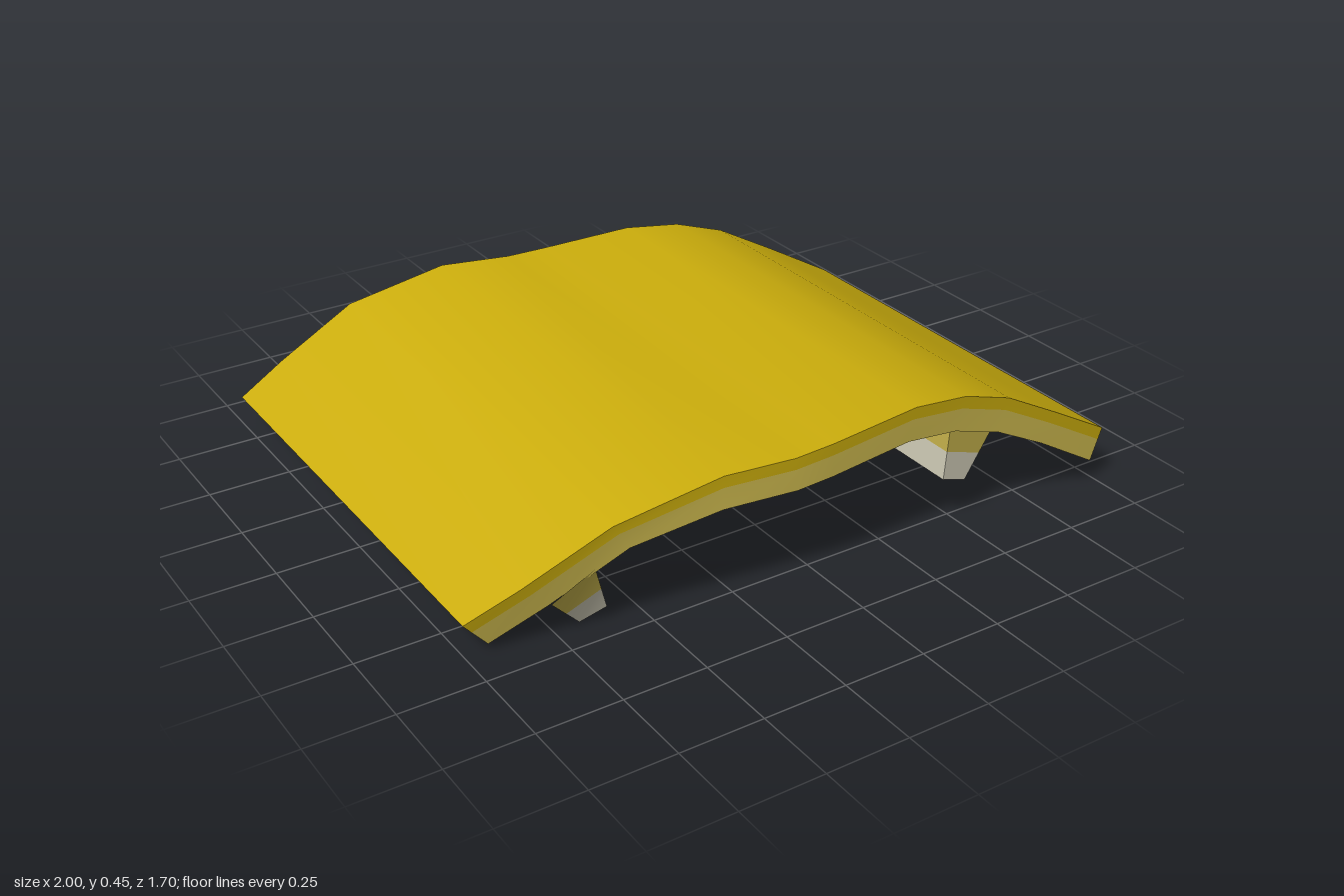
import * as THREE from 'three';
import { mergeGeometries } from 'three/addons/utils/BufferGeometryUtils.js';

const material = (name, color) => {
  const m = new THREE.MeshStandardMaterial({ color });
  m.name = name;
  return m;
};

// Surface between two rows of points, smooth along the rows
function strip(a, b) {
  const n = a.length, index = [];
  for (let i = 0; i < n - 1; i++) index.push(i, i + 1, n + i + 1, i, n + i + 1, n + i);
  const g = new THREE.BufferGeometry();
  g.setAttribute('position', new THREE.Float32BufferAttribute([...a, ...b].flatMap(p => p.toArray()), 3));
  g.setIndex(index);
  g.computeVertexNormals();
  return g;
}

const V = (x, y, z) => new THREE.Vector3(x, y, z);
const mix = (a, b, t) => a.map((p, i) => p.clone().lerp(b[i], t));

// Roof stations: top x, y, underside x, y, front z, back z
const STATIONS = [
  [-1.0, 0.10, -0.93, 0.02, 0.63, -0.85],
  [-0.86, 0.19, -0.78, 0.115, 0.685, -0.848],
  [-0.63, 0.34, -0.58, 0.26, 0.76, -0.818],
  [-0.33, 0.42, -0.33, 0.32, 0.815, -0.765],
  [-0.12, 0.42, -0.11, 0.32, 0.84, -0.715],
  [0.0, 0.43, 0.0, 0.33, 0.845, -0.69],
  [0.28, 0.455, 0.26, 0.355, 0.84, -0.638],
  [0.46, 0.435, 0.43, 0.335, 0.835, -0.615],
  [0.62, 0.385, 0.59, 0.285, 0.836, -0.593],
  [0.80, 0.29, 0.76, 0.20, 0.84, -0.555],
  [1.0, 0.18, 0.965, 0.08, 0.84, -0.51],
];

// Rib block; corners run top left, bottom left, bottom right, top right,
// each a pair of front and back points
function block(corners) {
  const [tl, bl, br, tr] = corners;
  return mergeGeometries([
    strip([bl[0], br[0]], [tl[0], tr[0]]),
    strip([br[1], bl[1]], [tr[1], tl[1]]),
    strip([br[0], br[1]], [tr[0], tr[1]]),
    strip([bl[1], bl[0]], [tl[1], tl[0]]),
    strip([bl[1], br[1]], [bl[0], br[0]]),
  ]);
}

export function createModel() {
  const group = new THREE.Group();
  const yellow = material('roof yellow', 0xcbad0c);
  const pale = material('pale yellow', 0xcdb94e);
  const cream = material('cream', 0xd9d5bf);
  const add = (parent, name, geometry, mat) => {
    const mesh = new THREE.Mesh(geometry, mat);
    mesh.name = name;
    parent.add(mesh);
  };

  // Curved roof panel with two-tone edges
  const roof = new THREE.Group();
  roof.name = 'roofPanel';
  group.add(roof);
  const topFront = STATIONS.map(s => V(s[0], s[1], s[4]));
  const topBack = STATIONS.map(s => V(s[0], s[1], s[5]));
  const lowFront = STATIONS.map(s => V(s[2], s[3], s[4]));
  const lowBack = STATIONS.map(s => V(s[2], s[3], s[5]));
  const midFront = mix(topFront, lowFront, 0.35);
  const midBack = mix(topBack, lowBack, 0.35);
  const last = STATIONS.length - 1;
  const rightEnd = (lf, lb, uf, ub) => strip([lf[last], lb[last]], [uf[last], ub[last]]);
  const leftEnd = (lf, lb, uf, ub) => strip([lb[0], lf[0]], [ub[0], uf[0]]);

  add(roof, 'roofTop', strip(topFront, topBack), yellow);
  add(roof, 'roofUnderside', strip(lowBack, lowFront), pale);
  add(roof, 'upperEdge', mergeGeometries([
    strip(midFront, topFront), strip(topBack, midBack),
    rightEnd(midFront, midBack, topFront, topBack),
    leftEnd(midFront, midBack, topFront, topBack),
  ]), yellow);
  add(roof, 'lowerEdge', mergeGeometries([
    strip(lowFront, midFront), strip(midBack, lowBack),
    rightEnd(lowFront, lowBack, midFront, midBack),
    leftEnd(lowFront, lowBack, midFront, midBack),
  ]), pale);

  // Support ribs: x, y, front z, back z per corner, with a cream lower half
  const ribs = [
    ['rightRib', 0.52, [[-0.78, 0.125, 0.7, -0.82], [-0.67, 0.003, 0.65, -0.79],
      [-0.603, 0.045, 0.68, -0.785], [-0.665, 0.21, 0.73, -0.81]]],
    ['leftRib', 0.5, [[0.435, 0.345, 0.81, -0.6], [0.44, 0.155, 0.79, -0.565],
      [0.52, 0.13, 0.79, -0.55], [0.595, 0.295, 0.81, -0.585]]],
  ];
  for (const [name, split, corners] of ribs) {
    const rib = new THREE.Group();
    rib.name = name;
    group.add(rib);
    const [tl, bl, br, tr] = corners.map(([x, y, f, b]) => [V(x, y, f), V(x, y, b)]);
    const ml = mix(tl, bl, split), mr = mix(tr, br, split);
    add(rib, 'ribUpper', block([tl, ml, mr, tr]), pale);
    add(rib, 'ribLower', block([ml, bl, br, mr]), cream);
  }
  return group;
}
